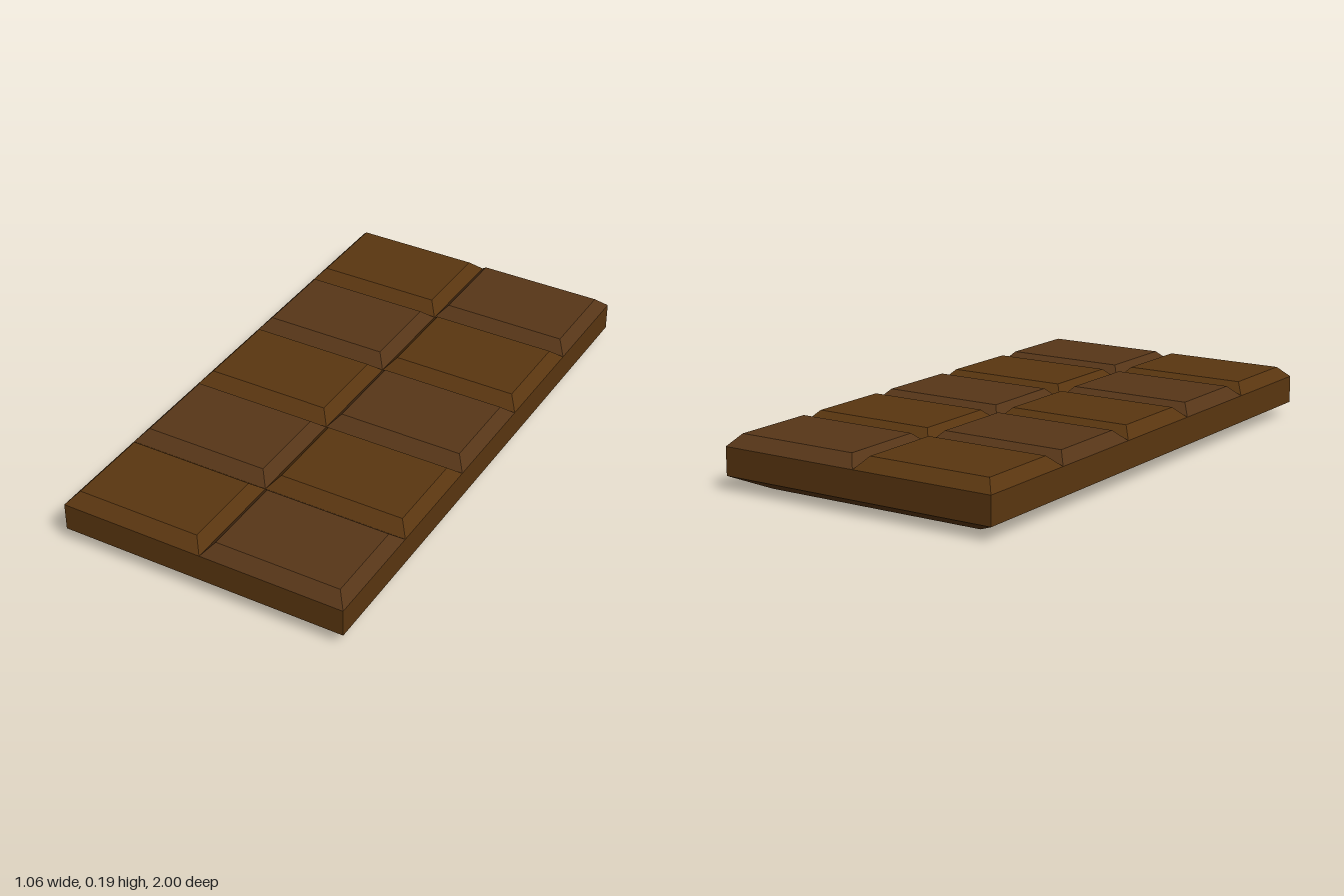
import * as THREE from 'three';

const HALF_X = 0.53, HALF_Z = 1, GROOVE_Y = 0.15, TOP_Y = 0.19;
const ROWS = 5, COLS = 2;

// Stacks rectangles [halfX, halfZ, y] into a hard-edged solid, with optional end caps
function stackRectangles(levels, { capBottom = false, capTop = false }) {
  const rings = levels.map(([x, z, y]) =>
    [[-x, y, z], [x, y, z], [x, y, -z], [-x, y, -z]]);
  const positions = [];
  const quad = (a, b, c, d) => positions.push(...a, ...b, ...c, ...a, ...c, ...d);
  for (let k = 0; k < rings.length - 1; k++) {
    const low = rings[k], high = rings[k + 1];
    for (let i = 0; i < 4; i++) {
      const j = (i + 1) % 4;
      quad(low[i], low[j], high[j], high[i]);
    }
  }
  if (capTop) quad(...rings[rings.length - 1]);
  if (capBottom) quad(...[...rings[0]].reverse());
  const geometry = new THREE.BufferGeometry();
  geometry.setAttribute('position', new THREE.Float32BufferAttribute(positions, 3));
  geometry.computeVertexNormals();
  return geometry;
}

export function createModel() {
  const group = new THREE.Group();
  group.name = 'chocolateBar';
  const brown = new THREE.MeshStandardMaterial({ color: 0x5a3610 });
  const cocoa = new THREE.MeshStandardMaterial({ color: 0x573618 });

  // Slab with a chamfered underside; the pieces close its top
  const slab = new THREE.Mesh(stackRectangles([
    [0.42, 0.9, 0],
    [HALF_X, HALF_Z, 0.05],
    [HALF_X, HALF_Z, GROOVE_Y],
  ], { capBottom: true }), brown);
  slab.name = 'slab';
  group.add(slab);

  // Bevelled pieces in a two-tone checkerboard, meeting in V grooves
  const px = HALF_X / COLS, pz = HALF_Z / ROWS;
  const pieceGeometry = stackRectangles([
    [px, pz, GROOVE_Y],
    [px - 0.036, pz - 0.045, TOP_Y],
  ], { capTop: true });
  for (let row = 0; row < ROWS; row++) {
    for (let col = 0; col < COLS; col++) {
      const piece = new THREE.Mesh(pieceGeometry, (row + col) % 2 ? cocoa : brown);
      piece.name = `piece_${row + 1}_${col + 1}`;
      piece.position.set((2 * col + 1) * px - HALF_X, 0, (2 * row + 1) * pz - HALF_Z);
      group.add(piece);
    }
  }
  return group;
}
